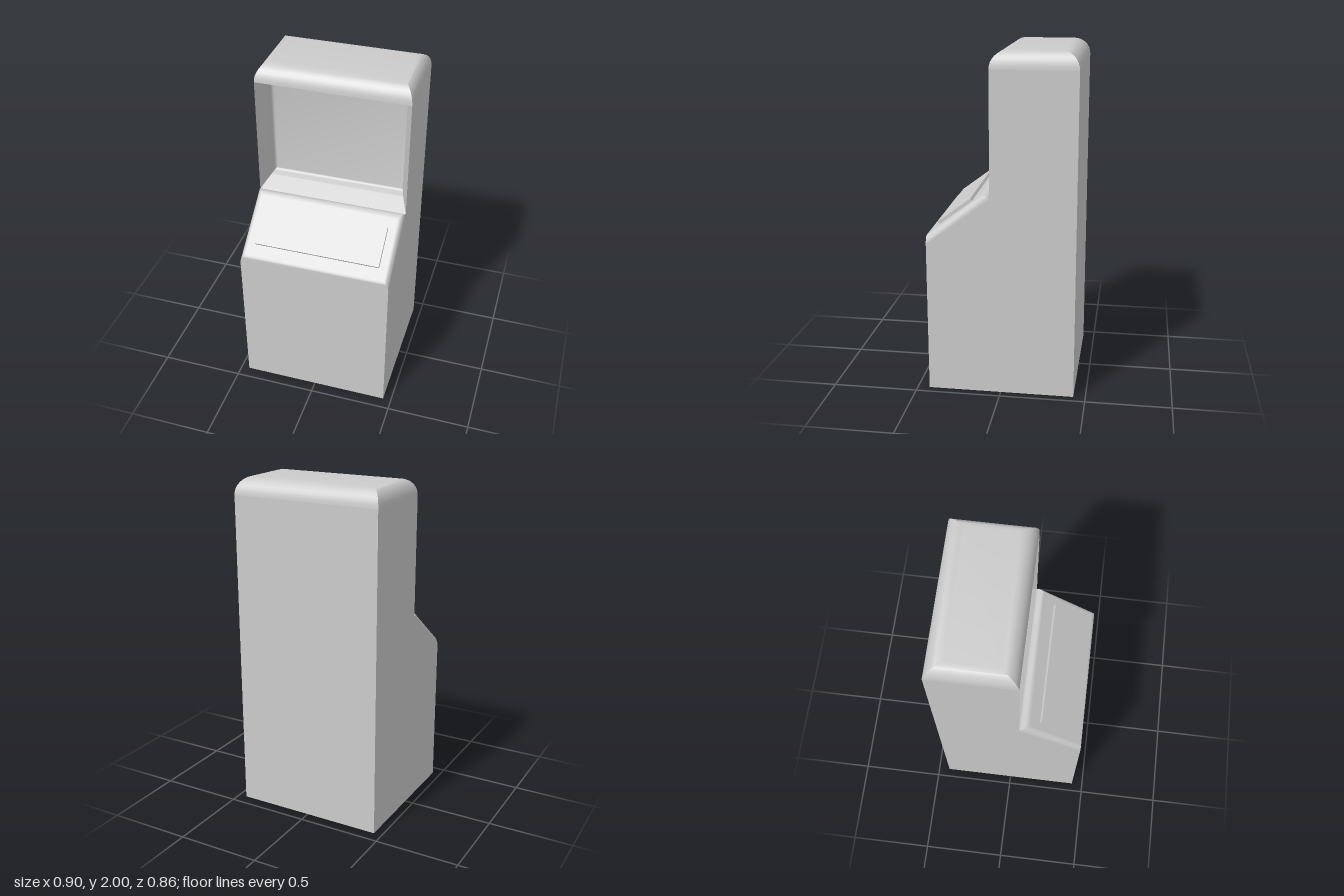
import * as THREE from 'three';
import { toCreasedNormals } from 'three/addons/utils/BufferGeometryUtils.js';

const W = 0.45, D = 0.43;       // half width, half depth
const NECK = 0.06;              // front of the upper cabinet
const SHOULDER = 1.9;           // where the rounded top starts
const SLOPE_LOW = 0.9, SLOPE_HIGH = 1.18;

const grey = new THREE.MeshStandardMaterial({ color: 0xcccccc });

function add(parent, name, geometry) {
  const mesh = new THREE.Mesh(geometry, grey);
  mesh.name = name;
  parent.add(mesh);
  return mesh;
}

// Skins a stack of four-cornered rings and closes the last one.
function loft(rings, crease = 0.7) {
  const pos = [];
  const quad = (a, b, c, d) => [a, b, c, a, c, d].forEach((p) => pos.push(...p));
  for (let k = 0; k < rings.length - 1; k++) {
    const r = rings[k], s = rings[k + 1];
    for (let i = 0; i < 4; i++) {
      const j = (i + 1) % 4;
      quad(r[i], r[j], s[j], s[i]);
    }
  }
  quad(...rings[rings.length - 1]);
  const g = new THREE.BufferGeometry();
  g.setAttribute('position', new THREE.Float32BufferAttribute(pos, 3));
  return toCreasedNormals(g, crease);
}

// Quarter-round steps: how far in and how far up.
function quarterRound(steps) {
  return Array.from({ length: steps + 1 }, (_, i) => {
    const a = (i / steps) * Math.PI / 2;
    return [1 - Math.cos(a), Math.sin(a)];
  });
}

function buildShell(group) {
  // Side walls share one stepped outline, drawn as (-z, y)
  const outline = new THREE.Shape([
    [-D, 0], [D, 0], [D, SHOULDER], [-NECK, SHOULDER], [-NECK, SLOPE_HIGH], [-D, SLOPE_LOW],
  ].map(([x, y]) => new THREE.Vector2(x, y)));
  const right = new THREE.ShapeGeometry(outline).rotateY(Math.PI / 2).translate(W, 0, 0);
  add(group, 'leftSideWall', right);
  const mirrored = right.clone().scale(-1, 1, 1);
  const index = Array.from(mirrored.index.array).reverse();
  mirrored.setIndex(index);
  mirrored.computeVertexNormals();
  add(group, 'rightSideWall', mirrored);

  // Front, back and underside
  add(group, 'frontPanel',
    new THREE.PlaneGeometry(2 * W, SLOPE_LOW).translate(0, SLOPE_LOW / 2, D));
  add(group, 'backPanel',
    new THREE.PlaneGeometry(2 * W, SHOULDER).rotateY(Math.PI).translate(0, SHOULDER / 2, -D));
  add(group, 'underside', new THREE.PlaneGeometry(2 * W, 2 * D).rotateX(Math.PI / 2));
}

function buildTop(group) {
  const rings = quarterRound(8).map(([inset, rise]) => {
    const x = W - 0.07 * inset, y = SHOULDER + 0.1 * rise;
    const f = NECK - 0.1 * inset, b = -D + 0.1 * inset;
    return [[-x, y, f], [x, y, f], [x, y, b], [-x, y, b]];
  });
  add(group, 'roundedTop', loft(rings));
}

function buildScreen(group) {
  // Each step: half width, bottom, top, depth
  const ring = ([x, lo, hi, z]) => [[-x, lo, z], [x, lo, z], [x, hi, z], [-x, hi, z]];
  const hood = [[W, SLOPE_HIGH, SHOULDER, NECK], [0.41, 1.235, 1.845, -0.035]].map(ring);
  const recess = [[0.41, 1.235, 1.845, -0.035], [0.403, 1.242, 1.838, -0.06]].map(ring);
  // Tube face blends out of the recess with a small cove
  quarterRound(5).forEach(([inset, rise]) => {
    const s = 0.02 * inset;
    recess.push(ring([0.403 - s, 1.242 + s, 1.838 - s, -0.06 - 0.025 * rise]));
  });
  const hoodGeo = loft(hood, 0.3);
  hoodGeo.setDrawRange(0, 24);           // walls only, open at the back
  const walls = new THREE.BufferGeometry();
  walls.setAttribute('position',
    new THREE.Float32BufferAttribute(hoodGeo.attributes.position.array.slice(0, 72), 3));
  walls.computeVertexNormals();
  add(group, 'screenHood', walls);
  add(group, 'screen', loft(recess));
}

function buildControls(group) {
  const run = new THREE.Vector2(D - NECK, SLOPE_LOW - SLOPE_HIGH).normalize(); // (z, y) downhill
  const up = new THREE.Vector2(-run.y, run.x);
  const ring = (inset, rise) => {
    const x = W - 0.03 * inset;
    const point = (z, y, along) => [
      Math.min(D, z + run.x * along + up.x * rise),
      y + run.y * along + up.y * rise,
    ];
    const [zl, yl] = point(D, SLOPE_LOW, -0.045 * inset);
    const [zh, yh] = point(NECK, SLOPE_HIGH, 0.042 * inset);
    return [[-x, yl, zl], [x, yl, zl], [x, yh, zh], [-x, yh, zh]];
  };
  const rings = quarterRound(6).map(([inset, rise]) => ring(inset, 0.04 * rise));
  rings.push(ring(1.1, 0.04));           // keeps the middle of the deck flat
  add(group, 'controlDeck', loft(rings));

  // Raised plate on the deck
  const plate = add(group, 'controlPlate', new THREE.BoxGeometry(0.75, 0.03, 0.24));
  plate.position.set(0, 1.075, 0.27);
  plate.rotation.x = Math.atan2(-run.y, run.x);
}

export function createModel() {
  const group = new THREE.Group();
  group.name = 'arcadeCabinet';
  buildShell(group);
  buildTop(group);
  buildScreen(group);
  buildControls(group);
  return group;
}
